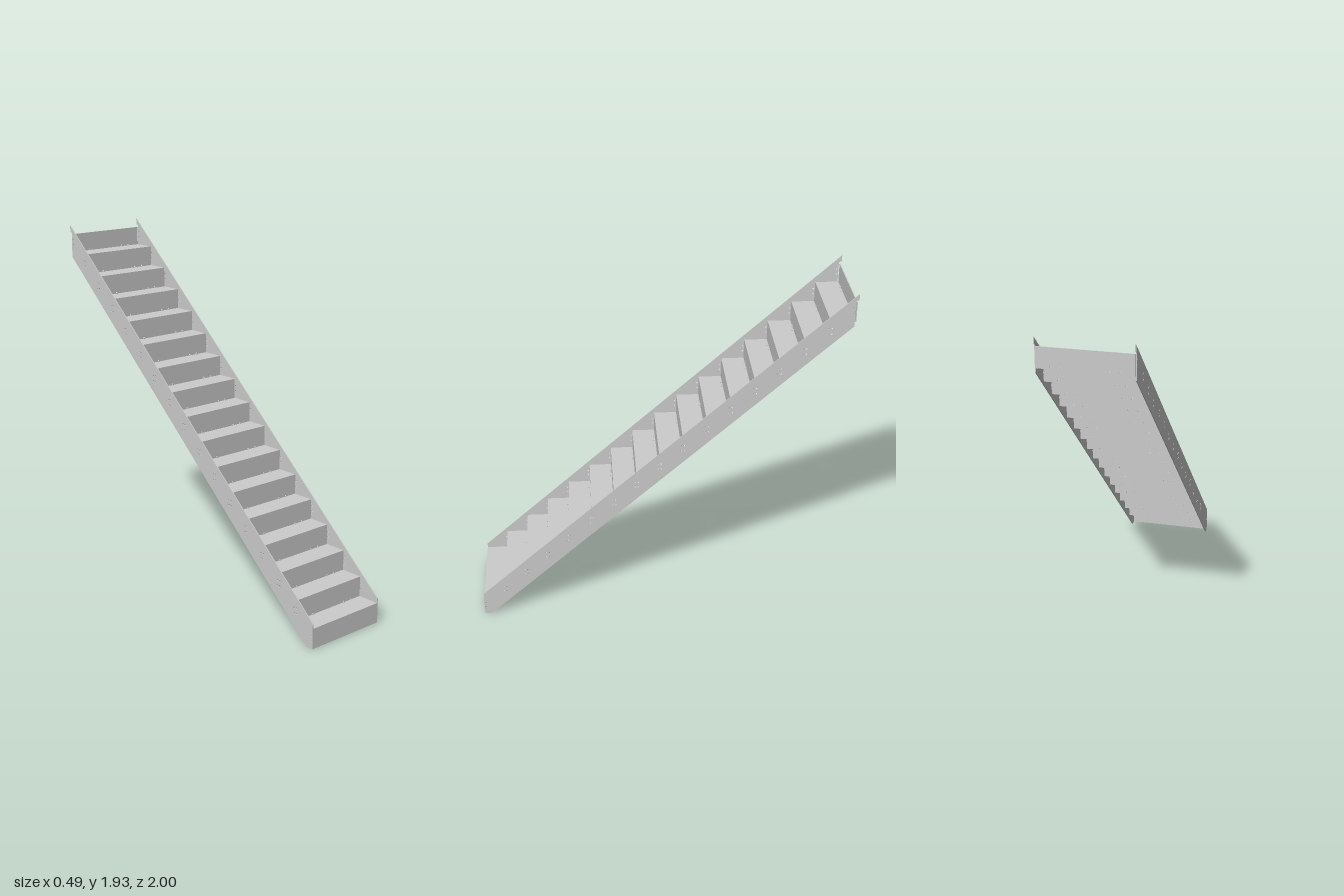
import * as THREE from 'three';

const STEPS = 16, RISE = 0.1115, RUN = 0.1243, HALF = 0.243;
const SHEET = 0.005, HOLE = 0.0045;
const material = new THREE.MeshStandardMaterial({ color: 0xcccccc, flatShading: true });

// Thin plate cut from an outline, with small round bolt holes
function plate(name, outline, holes) {
  const shape = new THREE.Shape(outline.map(([x, y]) => new THREE.Vector2(x, y)));
  for (const [x, y] of holes) {
    const path = new THREE.Path();
    path.absarc(x, y, HOLE, 0, Math.PI * 2, true);
    shape.holes.push(path);
  }
  const geometry = new THREE.ExtrudeGeometry(shape, { depth: SHEET, bevelEnabled: false, curveSegments: 5 });
  const mesh = new THREE.Mesh(geometry, material);
  mesh.name = name;
  return mesh;
}

const rectangle = (w, h) => [[-w, 0], [w, 0], [w, h], [-w, h]];
const boltX = [-0.165, -0.115, 0.115, 0.165];

export function createModel() {
  const group = new THREE.Group();
  group.name = 'staircase';

  // Side stringers: sloping plates with a hooked top end, drawn as (-z, y)
  const outline = [[-1, 0], [-0.96, 0], [0.985, 1.755], [0.985, 1.893],
    [0.99, 1.9], [1, 1.9], [1, 1.935], [-1, 0.137]];
  const holes = [];
  for (let k = 0; k <= STEPS; k++) {
    const z = -1 + k * RUN;
    const columns = k === 0 ? [0.008] : k === STEPS ? [-0.014] : [-0.008, 0.008];
    for (const dz of columns)
      for (const dy of [0.043, 0.073]) holes.push([z + dz, k * RISE + dy]);
  }
  for (const side of [-1, 1]) {
    const stringer = plate(side > 0 ? 'leftStringer' : 'rightStringer', outline, holes);
    stringer.rotation.y = Math.PI / 2;
    stringer.position.x = side > 0 ? HALF - SHEET : -HALF;
    group.add(stringer);
  }

  // Risers and treads
  const w = HALF - SHEET;
  for (let k = 0; k <= STEPS; k++) {
    const z = 1 - k * RUN;
    const bottom = k === 0 ? 0 : k * RISE - SHEET;
    const top = k === STEPS ? 1.887 : (k + 1) * RISE - SHEET;
    const riserHoles = k === 0 ? [] : boltX.map(x => [x, SHEET + 0.006]);
    const riser = plate('riser', rectangle(w, top - bottom), riserHoles);
    riser.position.set(0, bottom, z - SHEET);
    group.add(riser);
    if (k === STEPS) break;

    const tread = plate('tread', rectangle(w, RUN), boltX.map(x => [x, RUN - 0.006]));
    tread.rotation.x = -Math.PI / 2;
    tread.position.set(0, (k + 1) * RISE - SHEET, z);
    group.add(tread);
  }
  return group;
}
